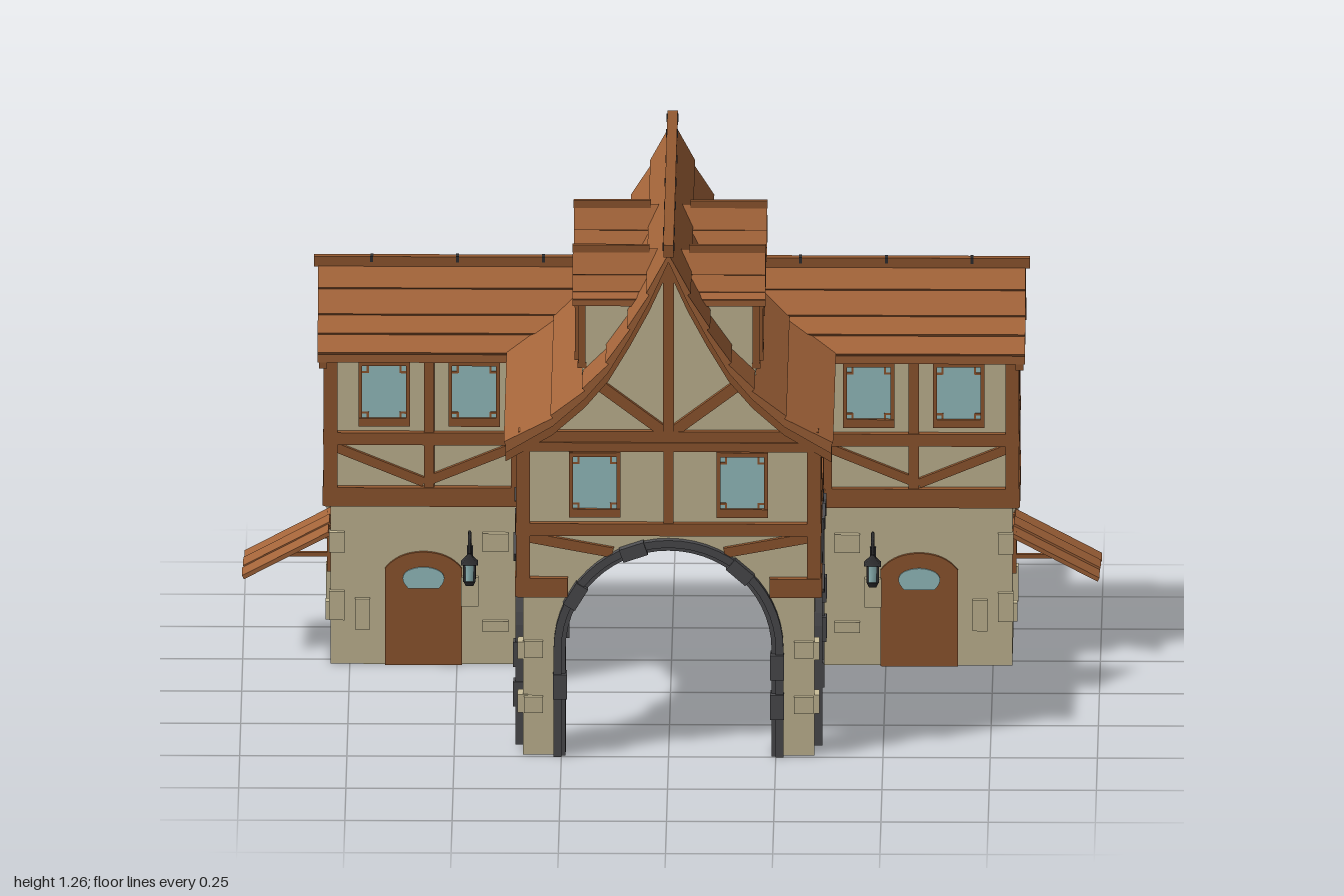
import * as THREE from 'three';

const mat = (name, color) => Object.assign(new THREE.MeshStandardMaterial({ color }), { name });
const plaster = mat('plaster', 0xcbbf9a);
const timber = mat('timber', 0x955a31);
const tile = mat('roofBoards', 0xa5653a);
const glass = mat('glass', 0x9dc8ca);
const stone = mat('darkStone', 0x4e4e51);
const iron = mat('iron', 0x2f2f31);

// Roof half-profiles, ridge to eave
const MAIN = [[0, 1.235], [0.045, 1.135], [0.09, 1.05], [0.14, 0.965], [0.195, 0.9], [0.27, 0.833], [0.38, 0.768]];
const WING = [[0, 0.942], [0.045, 0.888], [0.09, 0.838], [0.13, 0.803], [0.172, 0.768]];
const DORMER = [[0, 1.185], [0.03, 1.13], [0.052, 1.095], [0.076, 1.082]];

function add(parent, name, geo, material, x = 0, y = 0, z = 0) {
  const m = new THREE.Mesh(geo, material);
  m.name = name;
  m.position.set(x, y, z);
  parent.add(m);
  return m;
}
const box = (p, name, material, w, h, d, x, y, z) => add(p, name, new THREE.BoxGeometry(w, h, d), material, x, y, z);

function group(parent, name, x = 0, y = 0, z = 0, ry = 0) {
  const g = new THREE.Group();
  g.name = name;
  g.position.set(x, y, z);
  g.rotation.y = ry;
  parent.add(g);
  return g;
}

// Half width of the main roof at a height
function mainX(y) {
  for (let i = 1; i < MAIN.length; i++) {
    const [x0, y0] = MAIN[i - 1], [x1, y1] = MAIN[i];
    if (y >= y1) return Math.max(0, x0 + (x1 - x0) * (y0 - y) / (y0 - y1));
  }
  return 0.38;
}
const valley = y => Math.max(0, mainX(y) - 0.02);

const extrude = (pts, z0, z1) => {
  const shape = pts instanceof THREE.Shape ? pts : new THREE.Shape(pts.map(p => new THREE.Vector2(p[0], p[1])));
  return new THREE.ExtrudeGeometry(shape, { depth: z1 - z0, bevelEnabled: false, curveSegments: 14 }).translate(0, 0, z0);
};

// Stepped roof along local z; start may be a rule giving z from height
function roof(parent, name, profile, start, end, th = 0.02, lift = 0.008, material = tile) {
  const half = [profile[0]];
  for (let i = 1; i < profile.length; i++) {
    const [ax, ay] = profile[i - 1], [bx, by] = profile[i];
    const l = Math.hypot(bx - ax, by - ay);
    half.push([bx + (ay - by) / l * lift, by + (bx - ax) / l * lift], [bx, by]);
  }
  const under = profile.map(([x, y]) => [x, y - th]);
  const flip = a => a.map(([x, y]) => [-x, y]);
  const pts = [...half, ...[...under].reverse(), ...flip(under.slice(1)), ...flip(half.slice(1)).reverse()].reverse();
  const rule = typeof start === 'function';
  const geo = extrude(pts, rule ? 0 : start, end);
  if (rule) {
    const p = geo.attributes.position;
    for (let i = 0; i < p.count; i++) if (p.getZ(i) < 1e-4) p.setZ(i, start(p.getY(i)));
    geo.computeVertexNormals();
  }
  return add(parent, name, geo, material);
}

function gable(parent, profile, width, base, z0, z1) {
  const side = profile.filter(p => p[0] < width).map(([x, y]) => [x, y - 0.012]);
  side.push([width, base]);
  add(parent, 'gableWall', extrude([...side.slice(1).map(([x, y]) => [-x, y]).reverse(), ...side].reverse(), z0, z1), plaster);
}

function beam(parent, x0, y0, x1, y1, w = 0.028, d = 0.03) {
  const b = box(parent, 'timberBeam', timber, Math.hypot(x1 - x0, y1 - y0), w, d, (x0 + x1) / 2, (y0 + y1) / 2, 0);
  b.rotation.z = Math.atan2(y1 - y0, x1 - x0);
}

function windowAt(parent, u, y = 0.667, w = 0.12, h = 0.155) {
  const g = group(parent, 'window', u, y, 0);
  box(g, 'windowGlass', glass, w - 0.016, h - 0.02, 0.008, 0, 0, 0.005);
  for (const s of [-1, 1]) {
    box(g, 'windowJamb', timber, 0.009, h, 0.024, s * (w / 2 - 0.0045), 0, 0.004);
    box(g, 'windowRail', timber, w, s < 0 ? 0.02 : 0.01, 0.026, 0, s * (h / 2 - 0.006), 0.004);
    for (const t of [-1, 1]) {
      box(g, 'latticeCorner', timber, 0.016, 0.005, 0.006, s * (w / 2 - 0.014), t * (h / 2 - 0.028), 0.008);
      box(g, 'latticeCorner', timber, 0.005, 0.02, 0.006, s * (w / 2 - 0.022), t * (h / 2 - 0.02), 0.008);
    }
  }
}

const CY = 0.262;
function archFrame(parent, c) {
  const ring = (R, r, z0, z1) => {
    const s = new THREE.Shape();
    s.moveTo(c - R, 0).lineTo(c - R, CY).absarc(c, CY, R, Math.PI, 0, true);
    s.lineTo(c + R, 0).lineTo(c + r, 0).lineTo(c + r, CY).absarc(c, CY, r, 0, Math.PI, false).lineTo(c - r, 0);
    add(parent, 'archFrame', extrude(s, z0, z1), stone);
  };
  ring(0.268, 0.25, -0.09, 0.018);
  ring(0.255, 0.24, -0.07, 0.008);
  // Raised blocks on the arch
  for (const a of [-0.75, -0.2, 0.85, 1.9, 2.6, 3.6]) {
    const low = a < 0 || a > Math.PI;
    const x = low ? Math.sign(Math.cos(a)) * 0.253 : Math.cos(a) * 0.253;
    const y = low ? 0.26 + Math.sin(a) * 0.2 : CY + Math.sin(a) * 0.253;
    const b = box(parent, 'archBlock', stone, 0.032, 0.06, 0.04, c + x, y, 0.003);
    if (!low) b.rotation.z = a;
  }
}

function archWall(parent, u0, u1, c) {
  const s = new THREE.Shape();
  s.moveTo(u0, 0).lineTo(u0, 0.56).lineTo(u1, 0.56).lineTo(u1, 0).lineTo(c + 0.26, 0).lineTo(c + 0.26, CY);
  s.absarc(c, CY, 0.26, 0, Math.PI, false).lineTo(c - 0.26, 0);
  add(parent, 'archWall', extrude(s, -0.08, 0), plaster);
  archFrame(parent, c);
}

// Timber grid of one upper-storey face
function frame(parent, u0, u1, posts, windows, archC) {
  beam(parent, u0, 0.555, u1, 0.555, 0.03, 0.034);
  beam(parent, u0, 0.757, u1, 0.757, 0.022, 0.034);
  const spans = archC === undefined ? [[u0, u1]] : [[u0, archC - 0.235], [archC + 0.235, u1]];
  for (const [a, b] of spans) if (b > a) beam(parent, a, 0.413, b, 0.413, 0.046, 0.036);
  for (const u of [u0 + 0.014, u1 - 0.014]) beam(parent, u, 0.39, u, 0.765, 0.03, 0.032);
  for (const u of posts) beam(parent, u, archC === undefined ? 0.42 : 0.56, u, 0.75, 0.024, 0.028);
  if (archC !== undefined) {
    beam(parent, u0 + 0.02, 0.535, archC - 0.13, 0.497, 0.024, 0.022);
    beam(parent, u1 - 0.02, 0.535, archC + 0.13, 0.497, 0.024, 0.022);
  } else {
    const m = (u0 + u1) / 2;
    for (const u of [u0 + 0.025, u1 - 0.025]) beam(parent, u, 0.532, m, 0.447, 0.022, 0.022);
  }
  windows.forEach(u => windowAt(parent, u));
}

function stones(parent, list) {
  for (const [u, y, w, h] of list) box(parent, 'wallStone', plaster, w, h, 0.024, u, y, 0);
}

function lamp(parent, x) {
  const g = group(parent, 'lamp', x, 0, -0.215);
  const path = new THREE.CatmullRomCurve3([[0.25, 0], [0.27, 0.012], [0.29, 0.008], [0.325, 0.03], [0.34, 0.055], [0.33, 0.085], [0.3, 0.092]]
    .map(([y, z]) => new THREE.Vector3(0, y, z)));
  add(g, 'lampBracket', new THREE.TubeGeometry(path, 20, 0.004, 6), iron);
  box(g, 'lampPlate', iron, 0.014, 0.05, 0.006, 0, 0.265, 0.003);
  const turned = (name, geo, m, y) => { add(g, name, geo, m, 0, y, 0.092).rotation.y = Math.PI / 4; };
  turned('lampCap', new THREE.CylinderGeometry(0.004, 0.028, 0.022, 4), iron, 0.287);
  turned('lampGlass', new THREE.CylinderGeometry(0.019, 0.014, 0.042, 4), glass, 0.255);
  turned('lampBase', new THREE.CylinderGeometry(0.019, 0.012, 0.012, 4), iron, 0.228);
  for (const sx of [-1, 1]) for (const sz of [-1, 1]) box(g, 'lampBar', iron, 0.005, 0.044, 0.005, sx * 0.012, 0.256, 0.092 + sz * 0.012);
}

function door(parent, u) {
  const s = new THREE.Shape();
  s.moveTo(-0.09, 0).lineTo(0.09, 0).lineTo(0.09, 0.235).quadraticCurveTo(0.06, 0.275, 0, 0.276).quadraticCurveTo(-0.06, 0.275, -0.09, 0.235);
  add(parent, 'door', extrude(s, -0.01, 0.008), timber, u);
  const w = new THREE.Shape();
  w.moveTo(-0.035, 0.188).lineTo(0.035, 0.188).quadraticCurveTo(0.062, 0.215, 0.035, 0.232).quadraticCurveTo(0, 0.248, -0.035, 0.232).quadraticCurveTo(-0.062, 0.215, -0.035, 0.188);
  add(parent, 'doorGlass', extrude(w, 0.006, 0.012), glass, u);
}

export function createModel() {
  const root = new THREE.Group();
  root.name = 'gatehouse';

  // Main block and its front and back faces
  box(root, 'mainUpperStorey', plaster, 0.68, 0.215, 0.975, 0, 0.6525, -0.0025);
  for (const [name, z, ry] of [['mainFront', 0.485, 0], ['mainBack', -0.49, Math.PI]]) {
    const f = group(root, name, 0, 0, z, ry);
    archWall(f, -0.34, 0.34, 0);
    frame(f, -0.352, 0.352, [0], [-0.172, 0.172], 0);
    gable(f, MAIN, 0.34, 0.755, -0.02, 0);
    beam(f, -0.35, 0.782, 0.35, 0.782, 0.026, 0.03);
    beam(f, 0, 0.78, 0, 1.21, 0.026, 0.034);
    for (const s of [-1, 1]) {
      beam(f, 0, 0.785, s * 0.165, 0.91, 0.026, 0.026);
      stones(f, [[s * 0.315, 0.26, 0.045, 0.04], [s * 0.315, 0.125, 0.045, 0.04]]);
    }
    roof(f, 'bargeBoard', MAIN, -0.005, 0.02, 0.045, 0, timber);
  }
  roof(root, 'mainRoof', MAIN, -0.518, 0.518);
  box(root, 'mainRidge', timber, 0.024, 0.03, 1.045, 0, 1.243, 0);
  for (const z of [-0.5, -0.38, -0.18, 0, 0.18, 0.38, 0.5]) box(root, 'ridgePeg', iron, 0.028, 0.018, 0.007, 0, 1.247, z);

  for (const s of [-1, 1]) {
    const ry = s * Math.PI / 2;
    // Side of the main block; local u runs along -s * z
    const side = group(root, 'mainSide', s * 0.34, 0, 0, ry);
    const u = z => -s * z;
    const span = (a, b) => [Math.min(u(a), u(b)), Math.max(u(a), u(b))];
    archWall(side, ...span(0.485, -0.485), u(0.14));
    frame(side, ...span(0.497, -0.215), [u(0.14)], [u(0.315), u(-0.025)], u(0.14));
    stones(side, [[u(0.465), 0.255, 0.042, 0.042], [u(0.465), 0.125, 0.042, 0.045]]);

    // Wing body, front and back
    box(root, 'wingBody', plaster, 0.5, 0.765, 0.275, s * 0.545, 0.3825, -0.3525);
    const front = group(root, 'wingFront', 0, 0, -0.215);
    const ends = s > 0 ? [0.345, 0.808] : [-0.808, -0.345];
    frame(front, ...ends, [s * 0.565], [s * 0.46, s * 0.67]);
    door(front, s * 0.578);
    stones(front, [[s * 0.72, 0.125, 0.035, 0.075], [s * 0.78, 0.3, 0.036, 0.05], [s * 0.78, 0.145, 0.036, 0.07],
      [s * 0.41, 0.3, 0.06, 0.045], [s * 0.41, 0.095, 0.06, 0.025], [s * 0.47, 0.18, 0.04, 0.07]]);
    lamp(root, s * 0.47);
    const back = group(root, 'wingBack', 0, 0, -0.49, Math.PI);
    const be = s > 0 ? [-0.808, -0.345] : [0.345, 0.808];
    frame(back, ...be, [-s * 0.565], [-s * 0.67]);
    stones(back, [[-s * 0.7, 0.3, 0.06, 0.035], [-s * 0.62, 0.14, 0.035, 0.07], [-s * 0.44, 0.31, 0.055, 0.03], [-s * 0.77, 0.1, 0.045, 0.04]]);

    // Wing gable end
    const end = group(root, 'wingEnd', s * 0.795, 0, -0.3525, ry);
    frame(end, -0.15, 0.15, [], [0]);
    gable(end, WING, 0.14, 0.75, -0.02, 0.002);
    beam(end, -0.15, 0.772, 0.15, 0.772, 0.022, 0.03);
    roof(end, 'bargeBoard', WING, 0.008, 0.026, 0.036, 0, timber);
    stones(end, [[s * 0.065, 0.14, 0.026, 0.085], [s * 0.125, 0.295, 0.025, 0.045], [s * 0.125, 0.13, 0.025, 0.045], [-s * 0.125, 0.13, 0.025, 0.045]]);
    const wing = group(root, 'wingRoof', 0, 0, -0.35, ry);
    roof(wing, 'wingRoofBoards', WING, valley, 0.825);
    box(wing, 'wingRidge', timber, 0.02, 0.024, 0.68, 0, 0.944, 0.495);
    for (const z of [0.3, 0.5, 0.7]) box(wing, 'ridgePeg', iron, 0.024, 0.014, 0.007, 0, 0.95, z);

    // Sloping plank awning on the wing end
    const awning = group(root, 'awning', s * 0.795, 0, -0.357, ry);
    [-0.066, 0, 0.066].forEach((x, i) => {
      const p = box(awning, 'awningPlank', tile, 0.064, 0.01, 0.228, x, 0.25 + (i % 2) * 0.004, 0.1 + i * 0.002);
      p.rotation.x = 0.49;
    });
    for (const x of [-0.07, 0.07]) {
      box(awning, 'awningStrut', timber, 0.012, 0.01, 0.1, x, 0.246, 0.05);
      box(awning, 'awningPost', timber, 0.014, 0.1, 0.01, x, 0.255, 0.004);
    }

    // Dormers
    for (const z of [0.318, -0.028]) {
      const d = group(root, 'dormer', 0, 0, z, ry);
      box(d, 'dormerWall', plaster, 0.116, 0.19, 0.14, 0, 0.99, 0.133);
      gable(d, DORMER, 0.058, 1.07, 0.18, 0.203);
      roof(d, 'dormerRoof', DORMER, valley, 0.225, 0.014, 0.005);
      box(d, 'dormerRidge', timber, 0.011, 0.018, 0.18, 0, 1.186, 0.136);
      const f = group(d, 'dormerFront', 0, 0, 0.203);
      windowAt(f, 0, 1, 0.104, 0.135);
      beam(f, -0.06, 1.08, 0.06, 1.08, 0.014, 0.02);
      beam(f, -0.06, 0.918, 0.06, 0.918, 0.012, 0.02);
      for (const t of [-1, 1]) beam(f, t * 0.058, 0.915, t * 0.058, 1.08, 0.009, 0.016);
    }
  }
  return root;
}
